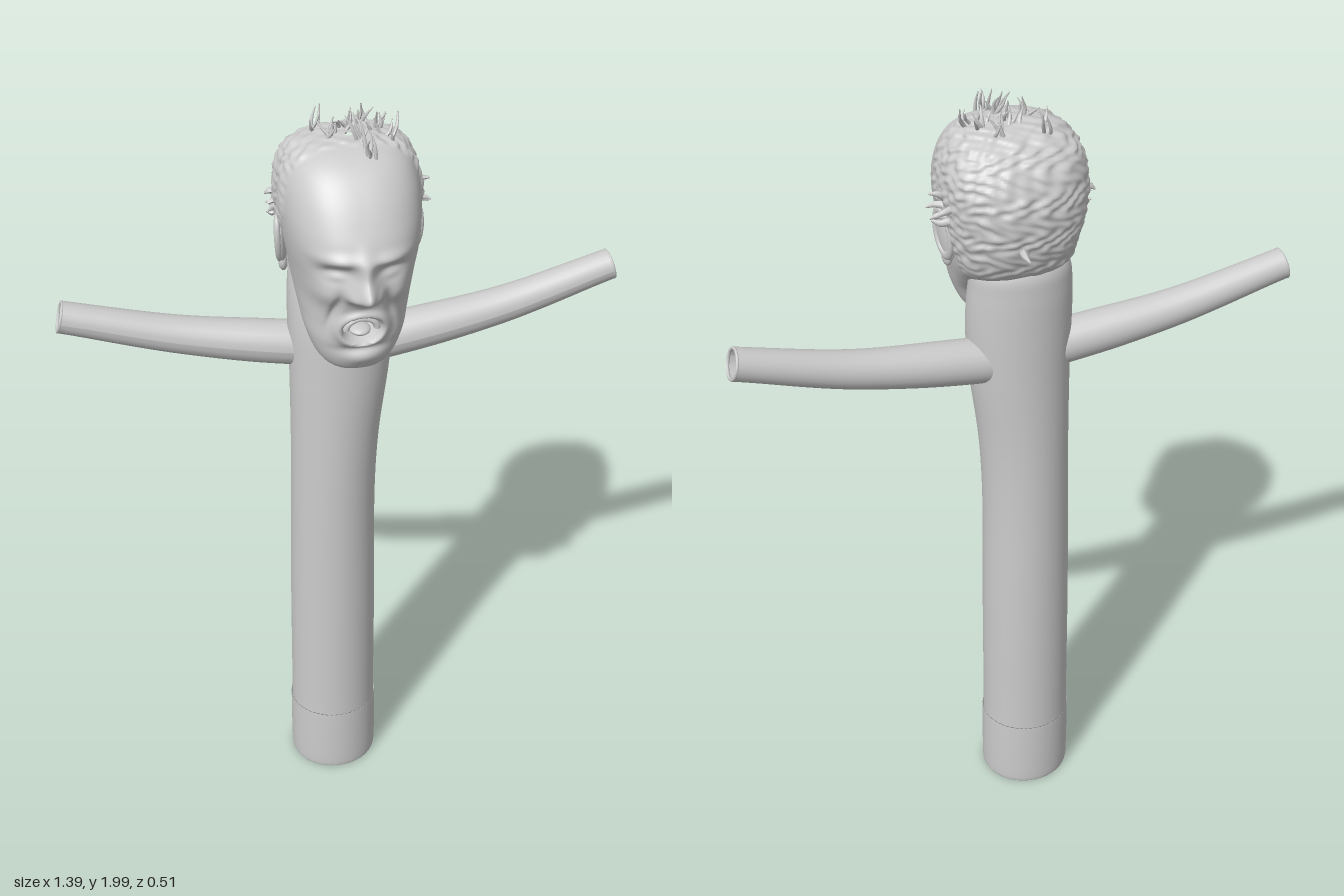
import * as THREE from 'three';

const material = new THREE.MeshStandardMaterial({ color: 0xcccccc });
const twoSided = new THREE.MeshStandardMaterial({ color: 0xcccccc, side: THREE.DoubleSide });
const { smoothstep, clamp, lerp } = THREE.MathUtils;

function seeded(seed) {
  return () => {
    seed = (seed * 16807) % 2147483647;
    return seed / 2147483647;
  };
}

function add(parent, name, geometry, mat = material) {
  const mesh = new THREE.Mesh(geometry, mat);
  mesh.name = name;
  parent.add(mesh);
  return mesh;
}

// Smooth value of every column of a table at t in 0..1
function sample(rows, t) {
  const f = t * (rows.length - 1);
  const i = Math.min(Math.floor(f), rows.length - 2);
  const u = f - i;
  const at = k => rows[clamp(k, 0, rows.length - 1)];
  return rows[0].map((_, c) => {
    const [a, b, d, e] = [at(i - 1)[c], at(i)[c], at(i + 1)[c], at(i + 2)[c]];
    return b + 0.5 * u * (d - a + u * (2 * a - 5 * b + 4 * d - e + u * (3 * (b - d) + e - a)));
  });
}

// Skin over stacked superellipses; rows are [y, zFront, zBack, halfWidth, xCentre]
function loft(rows, power, middle, nv, nu, shape) {
  const pos = [], index = [], v = new THREE.Vector3();
  for (let i = 0; i <= nv; i++) {
    const [y, zf, zb, hw, xc] = sample(rows, i / nv);
    const zc = lerp(zb, zf, middle);
    for (let j = 0; j < nu; j++) {
      const a = (j / nu) * Math.PI * 2, c = Math.cos(a), s = Math.sin(a);
      const r = (Math.abs(c) ** power + Math.abs(s) ** power) ** (-1 / power);
      v.set(xc + hw * r * c, y, zc + (s > 0 ? zf - zc : zc - zb) * r * s);
      if (shape) shape(v, c, s);
      pos.push(v.x, v.y, v.z);
      if (i < nv) {
        const k = i * nu + j, n = i * nu + (j + 1) % nu;
        index.push(k, k + nu, n, k + nu, n + nu, n);
      }
    }
  }
  const g = new THREE.BufferGeometry();
  g.setAttribute('position', new THREE.Float32BufferAttribute(pos, 3));
  g.setIndex(index);
  g.computeVertexNormals();
  return g;
}

// Tube whose radius runs through the given list
function taperTube(points, radii, segments, sides) {
  const curve = new THREE.CatmullRomCurve3(points.map(p => new THREE.Vector3(...p)));
  const g = new THREE.TubeGeometry(curve, segments, 1, sides);
  const p = g.attributes.position, v = new THREE.Vector3();
  for (let k = 0; k < p.count; k++) {
    const t = Math.floor(k / (sides + 1)) / segments;
    const c = curve.getPointAt(t);
    v.fromBufferAttribute(p, k).sub(c).multiplyScalar(sample(radii.map(r => [r]), t)[0]).add(c);
    p.setXYZ(k, v.x, v.y, v.z);
  }
  g.computeVertexNormals();
  return g;
}

// Facial relief and rough hair, pushed out of the plain skull
function sculpt(v, c, s) {
  const x = v.x + 0.005, ax = Math.abs(x), y = v.y;
  const bump = (u, cx, cy, sx, sy) => Math.exp(-(((u - cx) / sx) ** 2) - ((y - cy) / sy) ** 2);
  if (s > 0) {
    const ring = Math.hypot(x / 0.055, (y - 1.54) / 0.043);
    let d = 0.062 * bump(x, 0, 1.655, 0.027, 0.03);         // nose tip
    d += 0.022 * bump(x, 0, 1.705, 0.02, 0.04);             // nose bridge
    d += 0.018 * bump(ax, 0.03, 1.645, 0.014, 0.016);       // nostrils
    d += 0.012 * bump(ax, 0.055, 1.733, 0.045, 0.014);      // brow
    d -= 0.026 * bump(ax, 0.062, 1.695, 0.036, 0.02);       // eye socket
    d += 0.014 * bump(ax, 0.062, 1.69, 0.025, 0.012);       // eyelid
    d += 0.012 * bump(ax, 0.085, 1.635, 0.03, 0.03);        // cheek
    d -= 0.012 * bump(ax, 0.062 + (1.6 - y) * 0.25, 1.59, 0.01, 0.045); // smile fold
    d += 0.012 * Math.exp(-(((ring - 1) / 0.22) ** 2));     // lips
    d -= 0.05 * (1 - smoothstep(ring, 0.55, 0.9));          // open mouth
    d -= 0.01 * bump(x, 0, 1.483, 0.05, 0.012);             // chin crease
    d += 0.008 * bump(x, 0, 1.455, 0.04, 0.02);             // chin
    v.z += d * smoothstep(s, 0.1, 0.5);
  }
  const edge = lerp(-0.07, 0.03, smoothstep(y, 1.63, 1.78));
  const mask = smoothstep(edge - v.z, 0, 0.025) * smoothstep(y, 1.57, 1.64);
  const n = Math.sin(v.x * 95 + 3 * Math.sin(y * 70)) * Math.sin(y * 120 + 2 * Math.sin(v.z * 80))
    + 0.7 * Math.sin(v.z * 170 + y * 90) * Math.sin(v.x * 150 - y * 130);
  const out = mask * (0.005 + 0.0035 * n);
  v.x += c * out;
  v.z += s * out;
  v.y += out * 0.5 * smoothstep(y, 1.85, 1.93);
}

export function createModel() {
  const model = new THREE.Group();
  model.name = 'tubeMan';

  // Body tube with a hem near the foot
  add(model, 'body', loft([
    [0, 0.028, -0.183, 0.112, -0.037], [0.012, 0.035, -0.19, 0.118, -0.037],
    [0.19, 0.035, -0.19, 0.118, -0.037], [0.21, 0.032, -0.187, 0.115, -0.037],
    [0.6, 0.033, -0.187, 0.113, -0.035], [0.9, 0.034, -0.185, 0.109, -0.033],
    [1.1, 0.035, -0.183, 0.112, -0.027], [1.3, 0.035, -0.181, 0.124, -0.015],
    [1.43, 0.03, -0.18, 0.129, -0.012], [1.54, 0.01, -0.178, 0.126, -0.012],
    [1.6, -0.01, -0.17, 0.115, -0.01], [1.65, -0.05, -0.13, 0.07, -0.01],
  ], 2, 0.5, 90, 56));
  const base = add(model, 'bodyBase', new THREE.CircleGeometry(1, 56).rotateX(Math.PI / 2));
  base.scale.set(0.112, 1, 0.1055);
  base.position.set(-0.037, 0, -0.0775);

  // Arms, open at the wrists with a recessed wall
  const arms = {
    rightArm: [[-0.05, 1.355, -0.09], [-0.14, 1.365, -0.093], [-0.4, 1.408, -0.108], [-0.68, 1.482, -0.12]],
    leftArm: [[0.03, 1.345, -0.09], [0.12, 1.355, -0.094], [0.4, 1.4, -0.105], [0.68, 1.48, -0.115]],
  };
  for (const [name, path] of Object.entries(arms)) {
    const arm = new THREE.Group();
    arm.name = name;
    model.add(arm);
    add(arm, 'sleeve', taperTube(path, [0.056, 0.054, 0.048, 0.043, 0.039], 40, 24), twoSided);
    const end = new THREE.Vector3(...path[3]);
    const dir = end.clone().sub(new THREE.Vector3(...path[2])).normalize();
    const aim = new THREE.Quaternion().setFromUnitVectors(new THREE.Vector3(0, 0, 1), dir);
    const wall = add(arm, 'sleeveInside', new THREE.CircleGeometry(0.039, 24), twoSided);
    wall.position.copy(end).addScaledVector(dir, -0.03);
    const rim = add(arm, 'cuff', new THREE.TorusGeometry(0.036, 0.004, 8, 24));
    rim.position.copy(end);
    wall.quaternion.copy(aim);
    rim.quaternion.copy(aim);
  }

  // Head
  const head = new THREE.Group();
  head.name = 'head';
  model.add(head);
  add(head, 'skullAndFace', loft([
    [1.408, 0.08, 0.05, 0.004, -0.005], [1.408, 0.115, 0.01, 0.045, -0.005],
    [1.42, 0.138, 0, 0.075, -0.005], [1.45, 0.152, -0.015, 0.098, -0.005],
    [1.5, 0.162, -0.04, 0.117, -0.004], [1.55, 0.168, -0.1, 0.128, -0.002],
    [1.6, 0.178, -0.168, 0.138, 0], [1.65, 0.19, -0.195, 0.146, 0],
    [1.7, 0.2, -0.208, 0.155, 0], [1.75, 0.197, -0.213, 0.161, 0],
    [1.8, 0.174, -0.209, 0.163, 0], [1.85, 0.142, -0.192, 0.156, 0],
    [1.89, 0.105, -0.163, 0.137, 0], [1.915, 0.065, -0.125, 0.105, 0],
    [1.928, 0.02, -0.08, 0.06, 0], [1.932, -0.022, -0.028, 0.004, 0],
  ], 2.5, 0.4, 150, 160, sculpt));

  // Teeth and tongue
  const teeth = add(head, 'upperTeeth', new THREE.TorusGeometry(0.036, 0.008, 8, 24, Math.PI));
  teeth.position.set(-0.005, 1.535, 0.155);
  teeth.scale.set(1, 0.75, 1);
  const tongue = add(head, 'tongue', new THREE.SphereGeometry(1, 20, 12));
  tongue.scale.set(0.026, 0.011, 0.03);
  tongue.position.set(-0.005, 1.522, 0.13);

  // Ears
  for (const side of [-1, 1]) {
    const ear = new THREE.Group();
    ear.name = side > 0 ? 'leftEar' : 'rightEar';
    ear.position.set(side * 0.154, 1.672, -0.045);
    ear.rotation.set(0.2, side * 0.25, side * -0.08);
    const shell = add(ear, 'earShell', new THREE.SphereGeometry(1, 20, 16));
    shell.scale.set(0.012, 0.062, 0.032);
    const rim = add(ear, 'earRim', new THREE.TorusGeometry(1, 0.22, 10, 28).rotateY(Math.PI / 2));
    rim.scale.set(0.035, 0.055, 0.03);
    rim.position.set(side * 0.006, 0.008, 0);
    const lobe = add(ear, 'earLobe', new THREE.SphereGeometry(1, 14, 10));
    lobe.scale.set(0.011, 0.022, 0.015);
    lobe.position.set(0, -0.055, 0.012);
    head.add(ear);
  }

  // Loose strands: clusters on the crown, then tufts at the sides and back
  const rnd = seeded(41), spread = s => (rnd() - 0.5) * 2 * s;
  const strand = (p, d, r) => add(head, 'hairStrand', taperTube([
    p, p.map((q, k) => q + d[k] * 0.5 + spread(0.007)), p.map((q, k) => q + d[k]),
  ], [r, r * 0.8, r * 0.25], 6, 6), twoSided);
  const clusters = [[-0.07, -0.1], [0.045, -0.1], [-0.05, -0.03], [0.025, 0.01],
    [0.085, -0.02], [0.035, 0.05], [0, -0.06], [0.06, -0.05]];
  for (const [cx, cz] of clusters) {
    for (let k = 0; k < 5; k++) {
      const x = cx + spread(0.015), z = cz + spread(0.015);
      const y = 1.927 - 2.2 * x * x - 2 * (z + 0.03) ** 2;
      strand([x, y, z], [spread(0.03), 0.03 + rnd() * 0.035, spread(0.03)], 0.005);
    }
  }
  for (let k = 0; k < 5; k++) {
    const y = 1.72 + rnd() * 0.1, z = -0.08 + spread(0.035);
    strand([0.16, y, z], [0.038, spread(0.02), spread(0.02)], 0.01);
    strand([-0.16, y, z], [-0.022, spread(0.02), spread(0.02)], 0.009);
  }
  strand([0.025, 1.685, -0.2], [0.003, 0, -0.052], 0.012);
  return model;
}
